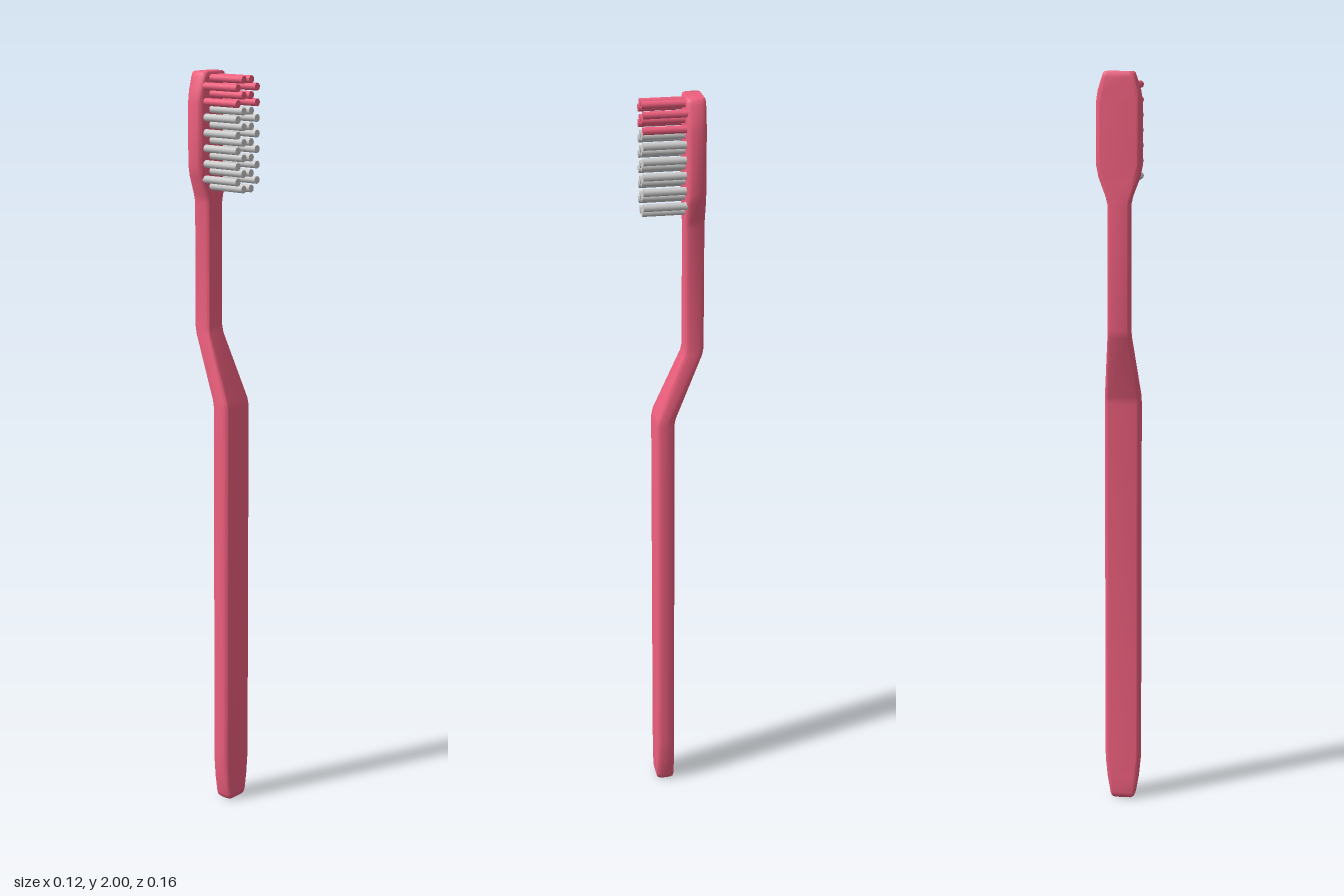
import * as THREE from 'three';
import { toCreasedNormals } from 'three/addons/utils/BufferGeometryUtils.js';

const pink = new THREE.MeshStandardMaterial({ color: 0xf0607f });
const grey = new THREE.MeshStandardMaterial({ color: 0xcccccc });

// Quarter of the rounded cross-section, as fractions of half width and half depth
const quarter = [[1, 0], [0.97, 0.5], [0.93, 0.8], [0.86, 0.95], [0.75, 1], [0.68, 1]];

function sectionPoints() {
  const back = quarter.slice().reverse();
  return [
    ...quarter,
    ...back.map(([u, v]) => [-u, v]),
    ...quarter.slice(1).map(([u, v]) => [-u, -v]),
    ...back.slice(0, -1).map(([u, v]) => [u, -v]),
  ];
}

// Loft through stations of [y, half width, half depth, centre z]
function loft(stations) {
  const section = sectionPoints();
  const n = section.length;
  const pos = [];
  const index = [];
  for (const [y, hx, hz, cz] of stations) {
    for (const [u, v] of section) pos.push(u * hx, y, cz + v * hz);
  }
  for (let i = 0; i < stations.length - 1; i++) {
    for (let j = 0; j < n; j++) {
      const k = (j + 1) % n;
      const a = i * n + j, b = i * n + k;
      index.push(a, a + n, b, b, a + n, b + n);
    }
  }
  // Flat end caps
  const last = stations.length - 1;
  for (const s of [0, last]) {
    const c = pos.length / 3;
    pos.push(0, stations[s][0], stations[s][3]);
    for (let j = 0; j < n; j++) {
      const a = s * n + j, b = s * n + (j + 1) % n;
      if (s === 0) index.push(c, a, b);
      else index.push(c, b, a);
    }
  }
  const geo = new THREE.BufferGeometry();
  geo.setAttribute('position', new THREE.Float32BufferAttribute(pos, 3));
  geo.setIndex(index);
  return toCreasedNormals(geo, 0.75);
}

export function createModel() {
  const group = new THREE.Group();

  // Grip, bend, neck and head in one continuous body
  const low = 0.025, high = -0.055;
  const handle = new THREE.Mesh(loft([
    [0, 0.028, 0.019, low],
    [0.005, 0.033, 0.023, low],
    [0.015, 0.036, 0.025, low],
    [0.06, 0.044, 0.025, low],
    [0.11, 0.049, 0.025, low],
    [0.14, 0.05, 0.025, low],
    [1.12, 0.05, 0.025, low],
    [1.14, 0.0495, 0.025, low - 0.004],
    [1.31, 0.032, 0.025, high + 0.004],
    [1.33, 0.031, 0.025, high],
    [1.66, 0.031, 0.025, high],
    [1.68, 0.036, 0.025, high],
    [1.73, 0.055, 0.025, high],
    [1.76, 0.061, 0.025, high],
    [1.92, 0.061, 0.025, high],
    [1.95, 0.057, 0.025, high],
    [1.985, 0.046, 0.025, high],
    [1.996, 0.042, 0.024, high],
    [2, 0.037, 0.021, high],
  ]), pink);
  handle.name = 'handle';
  group.add(handle);

  // Staggered tufts: inner columns, with outer columns half a step lower
  const bristles = new THREE.Group();
  bristles.name = 'bristles';
  const tuft = new THREE.CylinderGeometry(0.01, 0.01, 0.12, 12);
  tuft.rotateX(Math.PI / 2);
  for (let row = 0; row < 15; row++) {
    const x = row % 2 ? 0.0375 : 0.0145;
    for (const side of [-1, 1]) {
      const bristle = new THREE.Mesh(tuft, row < 4 ? pink : grey);
      bristle.name = 'bristle';
      bristle.position.set(side * x, 1.983 - row * 0.0199, 0.02);
      bristles.add(bristle);
    }
  }
  group.add(bristles);
  return group;
}
